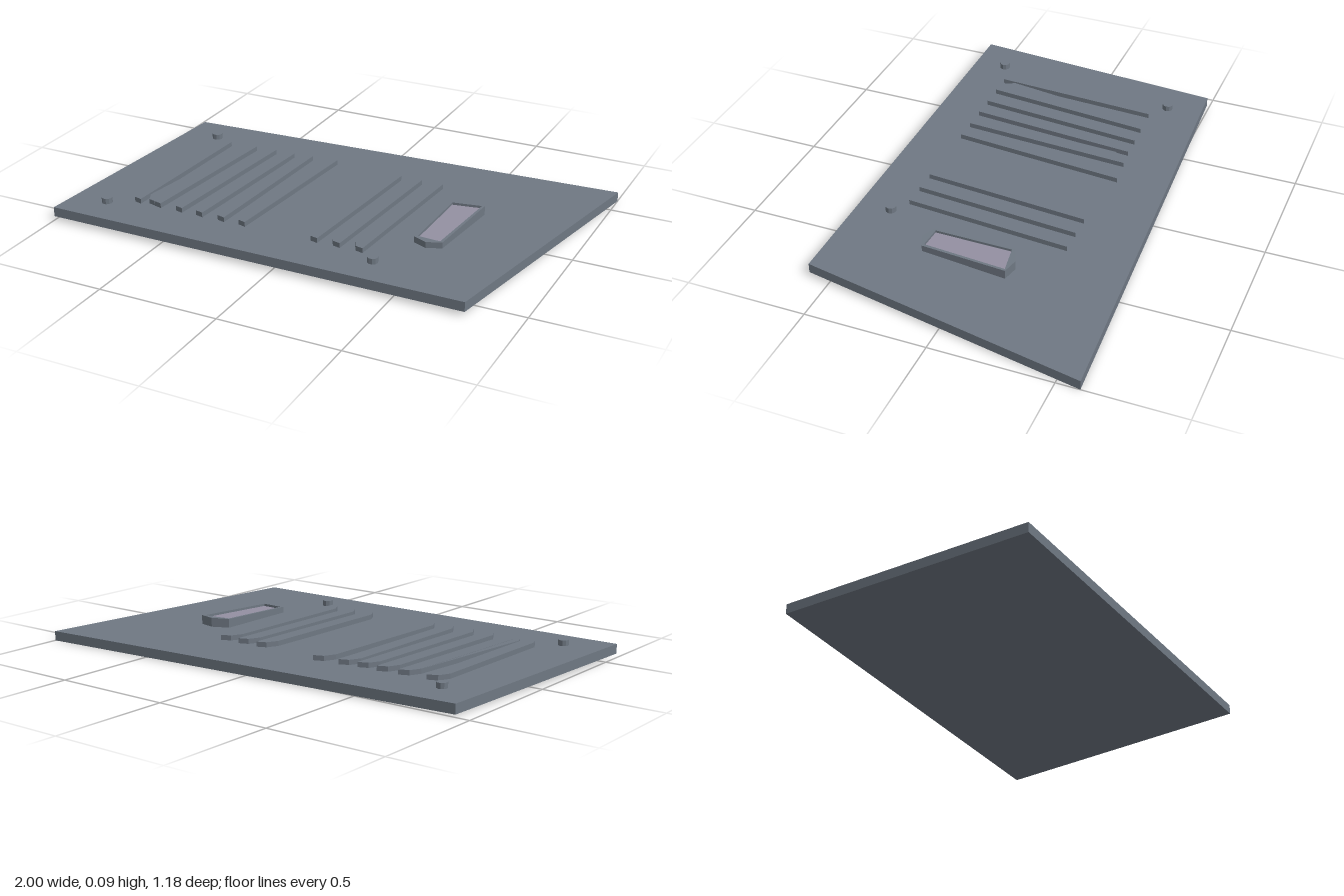
import * as THREE from 'three';

const steel = new THREE.MeshStandardMaterial({ color: 0x6f7883, flatShading: true });
const glass = new THREE.MeshStandardMaterial({ color: 0x9490a2, flatShading: true });

// Height of the plate's gently tilted top surface
const deck = (x, z) => 0.06 - (0.59 - z) * (0.0095 + 0.0025 * (x + 1));

// Prism over an (x, z) outline, with its lower and upper faces given by rules
function prism(name, outline, low, high, material = steel, hole = null) {
  const flat = (pts) => pts.map(([x, z]) => new THREE.Vector2(x, -z));
  const shape = new THREE.Shape(flat(outline));
  if (hole) shape.holes.push(new THREE.Path(flat(hole)));
  const geo = new THREE.ExtrudeGeometry(shape, { depth: 1, bevelEnabled: false });
  geo.rotateX(-Math.PI / 2);
  const p = geo.attributes.position;
  for (let i = 0; i < p.count; i++) {
    const x = p.getX(i), z = p.getZ(i);
    p.setY(i, p.getY(i) > 0.5 ? high(x, z) : low(x, z));
  }
  geo.computeVertexNormals();
  const mesh = new THREE.Mesh(geo, material);
  mesh.name = name;
  return mesh;
}

const above = (h) => (x, z) => deck(x, z) + h;

// Slat with its left corners cut away; x0/x1 are the front and back right edges
function slat([x0, z0, x1, z1], w = 0.055) {
  return prism('slat', [
    [x0, z0], [x0 - w * 0.6, z0 - 0.008], [x0 - w, z0 - 0.05],
    [x1 - w - 0.01, z1 + 0.06], [x1 - w * 0.75, z1 + 0.015], [x1, z1],
  ], above(-0.02), above(0.02));
}

// Small round fastener with a hollow centre
function fastener(x, z) {
  const ring = (r) => Array.from({ length: 10 }, (_, i) => {
    const a = i / 10 * Math.PI * 2;
    return [x + r * Math.cos(a), z + r * Math.sin(a)];
  });
  const group = new THREE.Group();
  group.name = 'fastener';
  group.add(
    prism('fastenerRing', ring(0.022), above(-0.01), above(0.023), steel, ring(0.011)),
    prism('fastenerCore', ring(0.011), above(-0.01), above(0.015)),
  );
  return group;
}

export function createModel() {
  const model = new THREE.Group();
  model.name = 'ventPanel';

  // Tapered base plate
  model.add(prism('plate', [[-1, 0.59], [0.79, 0.59], [1, -0.595], [-0.935, -0.49]],
    above(-0.04), above(0)));

  // Left slat bank, including one crooked slat
  const left = new THREE.Group();
  left.name = 'leftSlats';
  [
    [-0.705, 0.4, -0.68, -0.295], [-0.61, 0.4, -0.555, -0.3],
    [-0.51, 0.4, -0.46, -0.305], [-0.415, 0.4, -0.37, -0.305],
    [-0.315, 0.4, -0.285, -0.315], [-0.22, 0.4, -0.17, -0.325],
  ].forEach((s) => left.add(slat(s)));
  const crooked = slat([-0.645, 0.39, -0.56, -0.295], 0.05);
  crooked.name = 'crookedSlat';
  crooked.position.y = -0.001;
  left.add(crooked);

  // Right slat bank
  const right = new THREE.Group();
  right.name = 'rightSlats';
  for (let i = 0; i < 3; i++) right.add(slat([0.1 + i * 0.097, 0.4, 0.145 + i * 0.095, -0.295]));
  model.add(left, right);

  // Window: raised frame, tilted slightly up at the back, around a sunken pane
  const rim = (x, z) => 0.08 - (z - 0.24) * 0.02;
  const opening = [[0.442, 0.215], [0.538, 0.22], [0.572, -0.132], [0.452, -0.112]];
  const windowGroup = new THREE.Group();
  windowGroup.name = 'window';
  windowGroup.add(
    prism('windowFrame', [[0.432, 0.225], [0.49, 0.25], [0.55, 0.225],
      [0.583, -0.137], [0.515, -0.152], [0.443, -0.122]], above(-0.01), rim, steel, opening),
    prism('windowPane', opening, above(-0.01), (x, z) => rim(x, z) - 0.01, glass),
  );
  model.add(windowGroup);

  [[-0.785, -0.35], [-0.835, 0.45], [0.36, 0.45]].forEach(([x, z]) => model.add(fastener(x, z)));
  return model;
}
